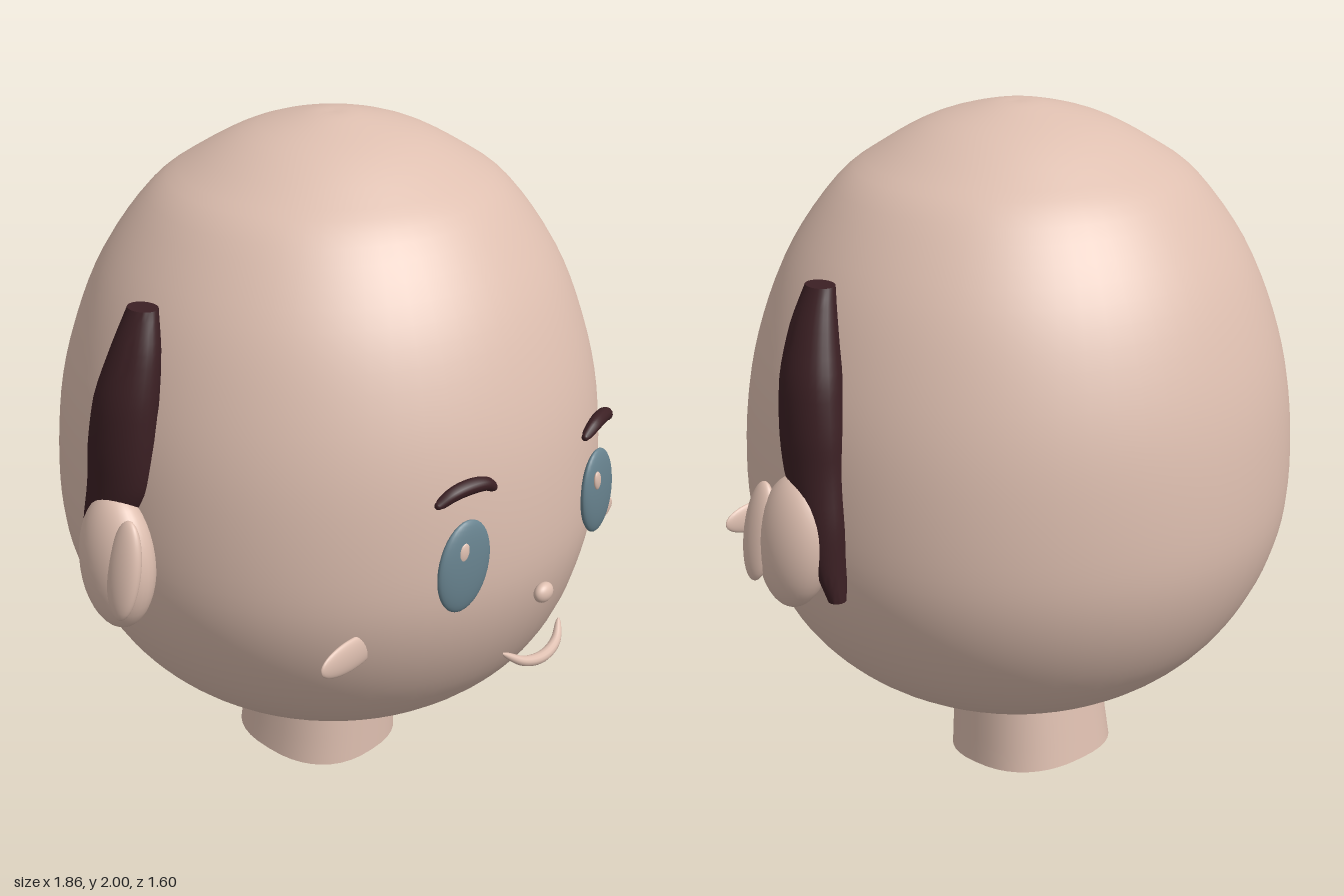
import * as THREE from 'three';
import { mergeVertices, toCreasedNormals } from 'three/addons/utils/BufferGeometryUtils.js';

const mat = (name, color) => new THREE.MeshStandardMaterial({ name, color });

// Smooth curve through points [x, y, z]
const curve = (pts) => new THREE.CatmullRomCurve3(pts.map((p) => new THREE.Vector3(...p)));

// Moves every vertex by a rule, then recomputes normals with sharp cap edges
function reshape(geo, rule) {
  geo.deleteAttribute('uv');
  geo.deleteAttribute('normal');
  const pos = geo.attributes.position;
  const v = new THREE.Vector3();
  for (let i = 0; i < pos.count; i++) {
    rule(v.fromBufferAttribute(pos, i));
    pos.setXYZ(i, v.x, v.y, v.z);
  }
  return toCreasedNormals(mergeVertices(geo), 0.9);
}

// Upright loft through level ellipses: centres [x, y, z] and radii [rx, 0, rz]
function loft(centres, radii) {
  const path = curve(centres);
  const size = curve(radii);
  return reshape(new THREE.CylinderGeometry(1, 1, 1, 28, 28), (v) => {
    const t = v.y + 0.5;
    const c = path.getPoint(t);
    const r = size.getPoint(t);
    v.set(c.x + v.x * r.x, c.y, c.z + v.z * r.z);
  });
}

// Round stroke along a path, thin at both ends
function stroke(pts, radius, endScale) {
  const path = curve(pts);
  const seg = 28, sides = 12;
  const geo = new THREE.TubeGeometry(path, seg, radius, sides);
  const pos = geo.attributes.position;
  const v = new THREE.Vector3();
  for (let i = 0; i < pos.count; i++) {
    const t = Math.floor(i / (sides + 1)) / seg;
    const k = endScale + (1 - endScale) * Math.sqrt(Math.max(0, Math.sin(Math.PI * t)));
    const c = path.getPointAt(t);
    v.fromBufferAttribute(pos, i).sub(c).multiplyScalar(k).add(c);
    pos.setXYZ(i, v.x, v.y, v.z);
  }
  return geo;
}

export function createModel() {
  const model = new THREE.Group();
  model.name = 'cartoonHead';
  const skin = mat('skin', 0xdebfb0);
  const hair = mat('darkBrownHair', 0x3c2024);
  const eyeBlue = mat('eyeBlue', 0x68838f);

  const add = (name, geo, material) => {
    const m = new THREE.Mesh(geo, material);
    m.name = name;
    model.add(m);
    return m;
  };
  const ellipsoid = (name, material, p, r, rot = [0, 0, 0]) => {
    const m = add(name, new THREE.SphereGeometry(1, 32, 20), material);
    m.position.set(...p);
    m.scale.set(...r);
    m.rotation.set(...rot);
  };

  // Head: turned profile, slightly flatter at the front of the face
  const profile = new THREE.SplineCurve([
    [0, 0.215], [0.25, 0.235], [0.46, 0.33], [0.61, 0.45], [0.715, 0.6],
    [0.78, 0.77], [0.8, 0.95], [0.785, 1.19], [0.735, 1.4], [0.65, 1.6],
    [0.52, 1.78], [0.4, 1.87], [0.25, 1.95], [0.08, 1.996], [0, 2],
  ].map((p) => new THREE.Vector2(...p))).getPoints(56);
  profile.forEach((p) => { p.x = Math.max(0, p.x); });
  const headGeo = new THREE.LatheGeometry(profile, 64);
  const hp = headGeo.attributes.position;
  for (let i = 0; i < hp.count; i++) {
    const front = THREE.MathUtils.lerp(1, 0.955, THREE.MathUtils.smoothstep(hp.getY(i), 0.4, 0.8));
    if (hp.getZ(i) > 0) hp.setZ(i, hp.getZ(i) * front);
  }
  add('head', headGeo, skin);

  // Neck: squared-off round column with a slanted foot
  add('neck', reshape(new THREE.CylinderGeometry(1, 1, 1, 40, 4), (v) => {
    const t = v.y + 0.5;
    const sq = (a) => Math.sign(a) * Math.abs(a) ** 0.82;
    const z = THREE.MathUtils.lerp(-0.065, -0.045, t) + sq(v.z) * THREE.MathUtils.lerp(0.225, 0.205, t);
    const foot = (0.16 - z) * 0.09;
    v.set(sq(v.x) * THREE.MathUtils.lerp(0.228, 0.2, t), THREE.MathUtils.lerp(foot, 0.32, t), z);
  }), skin);

  // Nose and smile
  ellipsoid('nose', skin, [0, 0.783, 0.775], [0.035, 0.029, 0.022]);
  add('mouth', stroke([
    [-0.132, 0.632, 0.74], [-0.075, 0.596, 0.772], [0, 0.583, 0.783],
    [0.075, 0.596, 0.772], [0.132, 0.632, 0.74],
  ], 0.017, 0.15), skin);

  for (const s of [1, -1]) {
    const side = s > 0 ? 'left' : 'right';

    // Eye with a small highlight
    ellipsoid(side + 'Eye', eyeBlue, [s * 0.304, 0.97, 0.728], [0.09, 0.132, 0.024], [0, s * 0.16, s * 0.14]);
    ellipsoid(side + 'EyeHighlight', skin, [s > 0 ? 0.268 : -0.322, 1.02, s > 0 ? 0.753 : 0.742],
      [0.018, 0.029, 0.008], [0, s * 0.16, s * 0.2]);

    // Eyebrow
    const brow = [[0.208, 1.172, 0.745], [0.245, 1.195, 0.745], [0.295, 1.2, 0.733],
      [0.345, 1.19, 0.717], [0.382, 1.166, 0.7]].map(([x, y, z]) => [s * x, y, z]);
    add(side + 'Eyebrow', stroke(brow, 0.021, 0.5), hair);
    for (const end of [brow[0], brow[4]]) {
      ellipsoid(side + 'EyebrowTip', hair, end, [0.0105, 0.0105, 0.0105]);
    }

    // Cheek
    ellipsoid(side + 'Cheek', skin, [s * 0.55, 0.738, 0.549], [0.118, 0.048, 0.015]);

    // Ear: shell and raised inner fold
    ellipsoid(side + 'Ear', skin, [s * 0.838, 0.935, -0.03], [0.085, 0.192, 0.122], [-0.1, 0, s * 0.08]);
    ellipsoid(side + 'EarFold', skin, [s * 0.892, 0.952, 0.055], [0.03, 0.14, 0.056], [0, 0, s * 0.2]);

    // Side hair: runs from the temple down behind the ear
    add(side + 'SideHair', loft(
      [[s * 0.8, 0.79, -0.158], [s * 0.803, 0.88, -0.14], [s * 0.8, 1.0, -0.11], [s * 0.79, 1.13, -0.065],
        [s * 0.783, 1.25, -0.052], [s * 0.77, 1.38, -0.04], [s * 0.742, 1.52, -0.025], [s * 0.715, 1.625, -0.022]],
      [[0.025, 0, 0.024], [0.045, 0, 0.04], [0.056, 0, 0.07], [0.067, 0, 0.1],
        [0.073, 0, 0.106], [0.072, 0, 0.1], [0.055, 0, 0.075], [0.036, 0, 0.046]],
    ), hair);
  }
  return model;
}
